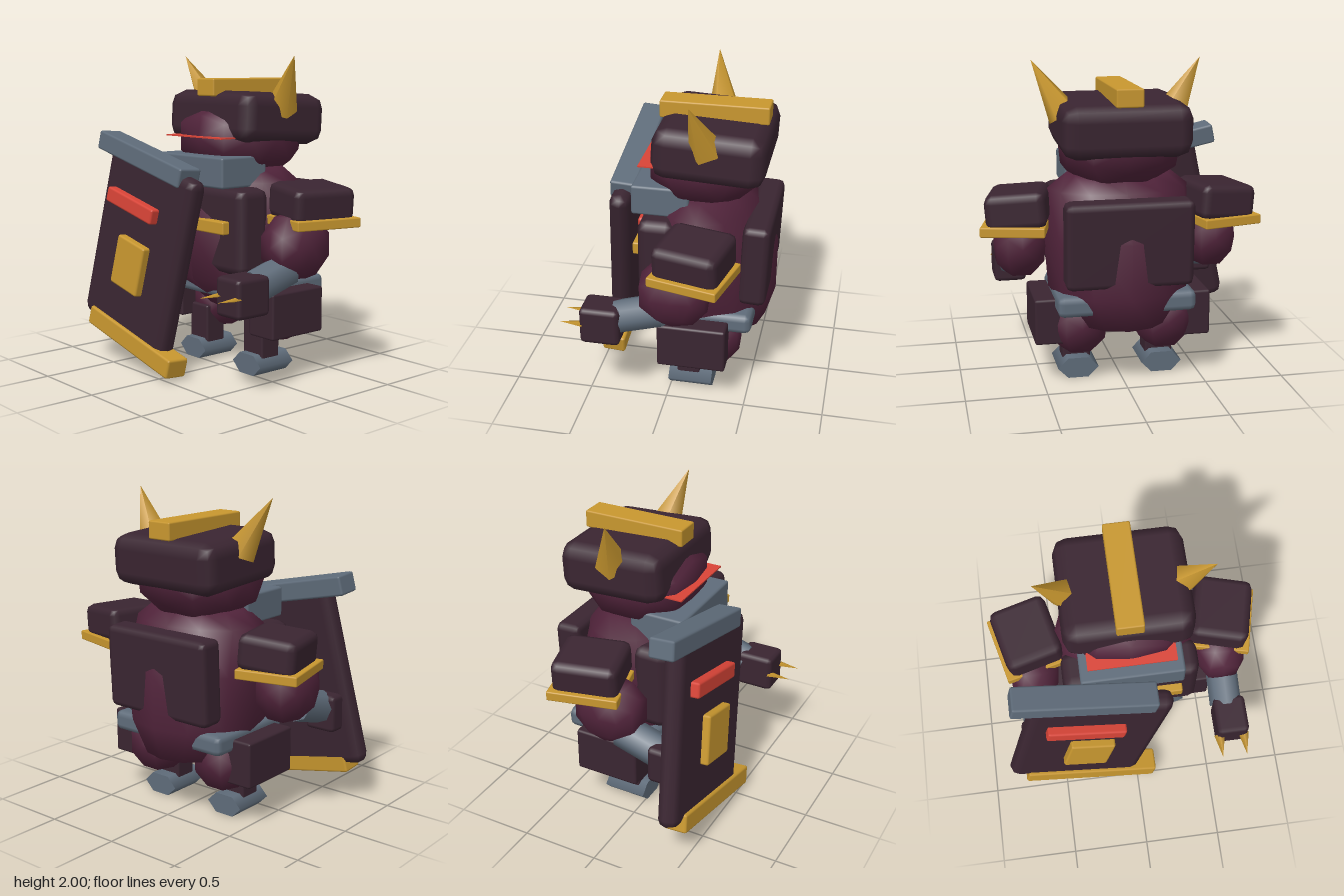
import * as THREE from 'three';
import { RoundedBoxGeometry } from 'three/addons/geometries/RoundedBoxGeometry.js';

const material = (name, color) => {
  const m = new THREE.MeshStandardMaterial({ color });
  m.name = name;
  return m;
};

export function createModel() {
  const model = new THREE.Group();
  model.name = 'armouredGuard';
  const plate = material('dark plum armour', 0x3a2531);
  const hide = material('maroon hide', 0x50233a);
  const steel = material('slate steel', 0x5f6c7a);
  const gold = material('gold trim', 0xc8972f);
  const red = material('red glow', 0xd94437);

  const add = (name, geometry, mat, pos, rot = [0, 0, 0]) => {
    const mesh = new THREE.Mesh(geometry, mat);
    mesh.name = name;
    mesh.position.set(...pos);
    mesh.rotation.set(...rot);
    model.add(mesh);
    return mesh;
  };
  // Box with chamfered edges
  const block = (w, h, d, r = 0.03) => new RoundedBoxGeometry(w, h, d, 1, r);
  // Faceted ellipsoid, swollen slightly towards a box
  const blob = (x, y, z) => {
    const geometry = new THREE.IcosahedronGeometry(1, 1);
    const p = geometry.attributes.position;
    for (let i = 0; i < p.count; i++) {
      const v = new THREE.Vector3().fromBufferAttribute(p, i);
      const norm = Math.cbrt(Math.abs(v.x) ** 3 + Math.abs(v.y) ** 3 + Math.abs(v.z) ** 3);
      p.setXYZ(i, v.x / norm, v.y / norm, v.z / norm);
    }
    return geometry.scale(x, y, z);
  };
  // Cone or tube running between two points
  const rod = (name, from, to, r0, r1, sides, mat) => {
    const a = new THREE.Vector3(...from), b = new THREE.Vector3(...to);
    const dir = b.clone().sub(a);
    const mesh = add(name, new THREE.CylinderGeometry(r1, r0, dir.length(), sides), mat,
      a.clone().add(b).multiplyScalar(0.5).toArray());
    mesh.quaternion.setFromUnitVectors(new THREE.Vector3(0, 1, 0), dir.normalize());
    return mesh;
  };

  // Torso: a barrel, shallower at the shoulders and set back at the hips
  const profile = [[0, 0.34], [0.62, 0.39], [0.95, 0.6], [1, 0.95], [0.94, 1.22], [0.7, 1.31], [0, 1.33]];
  const barrel = new THREE.LatheGeometry(profile.map(([r, y]) => new THREE.Vector2(r, y)), 12);
  barrel.scale(0.47, 1, 0.445);
  const bp = barrel.attributes.position;
  for (let i = 0; i < bp.count; i++) {
    const y = bp.getY(i);
    bp.setZ(i, bp.getZ(i) * (1 - Math.max(0, y - 0.95)) - 0.4 * Math.max(0, 0.65 - y));
  }
  barrel.computeVertexNormals();
  add('torso', barrel, hide, [0, 0, -0.178]);

  // Torso armour
  add('chestPlate', block(0.86, 0.54, 0.24, 0.06), plate, [0, 0.93, 0.08]);
  add('backPlate', block(0.78, 0.53, 0.17, 0.04), plate, [0, 0.935, -0.52], [-0.04, 0, 0]);
  add('chestBar', block(0.64, 0.08, 0.06, 0.01), gold, [0, 0.96, 0.22]);
  add('chestGem', block(0.12, 0.07, 0.06, 0.02), red, [0, 1.0, 0.25]);
  add('belt', block(0.86, 0.13, 0.64, 0.04), steel, [0, 0.545, -0.2]);

  // Head and helmet
  add('head', blob(0.37, 0.25, 0.35), hide, [0, 1.49, -0.17]);
  add('jawGuard', block(0.64, 0.19, 0.36, 0.015), steel, [0, 1.295, 0.075]);
  add('eyeSlit', new THREE.BoxGeometry(0.54, 0.008, 0.16), red, [0, 1.5, 0.14]);
  add('helmet', block(0.79, 0.32, 0.69, 0.09), plate, [0, 1.612, -0.22], [-0.05, 0, 0]);
  add('helmetCrest', block(0.165, 0.11, 0.67, 0.01), gold, [0, 1.805, -0.212]);

  for (const [side, s] of [['left', 1], ['right', -1]]) {
    rod(side + 'Horn', [s * 0.335, 1.67, -0.21], [s * 0.525, 2, -0.14], 0.105, 0, 5, gold);

    // Shoulder and arm
    add(side + 'ShoulderPlate', block(0.37, 0.22, 0.415, 0.05), plate,
      [s * 0.62, 1.12, -0.2], [0, -s * 0.235, -s * 0.08]);
    add(side + 'ShoulderTrim', block(0.39, 0.06, 0.44, 0.008), gold,
      [s * 0.635, 1.005, -0.2], [0, -s * 0.235, 0]);
    add(side + 'UpperArm', blob(0.16, 0.2, 0.215), hide, [s * 0.61, 0.86, -0.08]);
    rod(side + 'Forearm', [s * 0.62, 0.73, 0], [s * 0.62, 0.65, 0.27], 0.105, 0.105, 8, steel);

    // Leg
    add(side + 'Thigh', blob(0.175, 0.19, 0.195), hide, [s * 0.27, 0.38, -0.25]);
    add(side + 'ThighPlate', block(0.22, 0.29, 0.43, 0.015), plate, [s * 0.445, 0.418, -0.165]);
    add(side + 'Shin', block(0.18, 0.26, 0.15, 0.015), plate, [s * 0.27, 0.225, -0.115]);
    const foot = new THREE.CylinderGeometry(1, 1, 0.28, 6);
    foot.rotateY(Math.PI / 2).rotateX(Math.PI / 2).scale(0.13, 0.075, 1);
    add(side + 'Foot', foot, steel, [s * 0.27, 0.065, -0.13]);
  }

  // Hands; the right one grips the back of the shield
  add('leftHand', block(0.21, 0.24, 0.25, 0.03), plate, [0.635, 0.62, 0.365]);
  add('rightHand', block(0.21, 0.24, 0.18, 0.03), plate, [-0.635, 0.62, 0.32]);
  for (const x of [0.55, 0.71]) {
    const claw = rod('claw', [x, 0.625, 0.47], [x, 0.625, 0.62], 0.036, 0, 4, gold);
    claw.scale.z = 0.4;
  }

  // Shield, leaning sideways and slightly back
  const lean = [-0.07, 0, -0.22];
  add('shieldBoard', block(0.89, 1.18, 0.135, 0.06), plate, [-0.315, 0.767, 0.39], lean);
  add('shieldTopBar', block(0.9, 0.125, 0.165, 0.015), steel, [-0.31, 1.353, 0.347], lean);
  add('shieldBottomBar', block(0.9, 0.125, 0.155, 0.015), gold, [-0.32, 0.178, 0.443], lean);
  add('shieldStripe', block(0.5, 0.1, 0.07, 0.015), red, [-0.32, 1.06, 0.46], lean);
  add('shieldEmblem', block(0.29, 0.325, 0.08, 0.015), gold, [-0.32, 0.673, 0.475], lean);

  return model;
}
